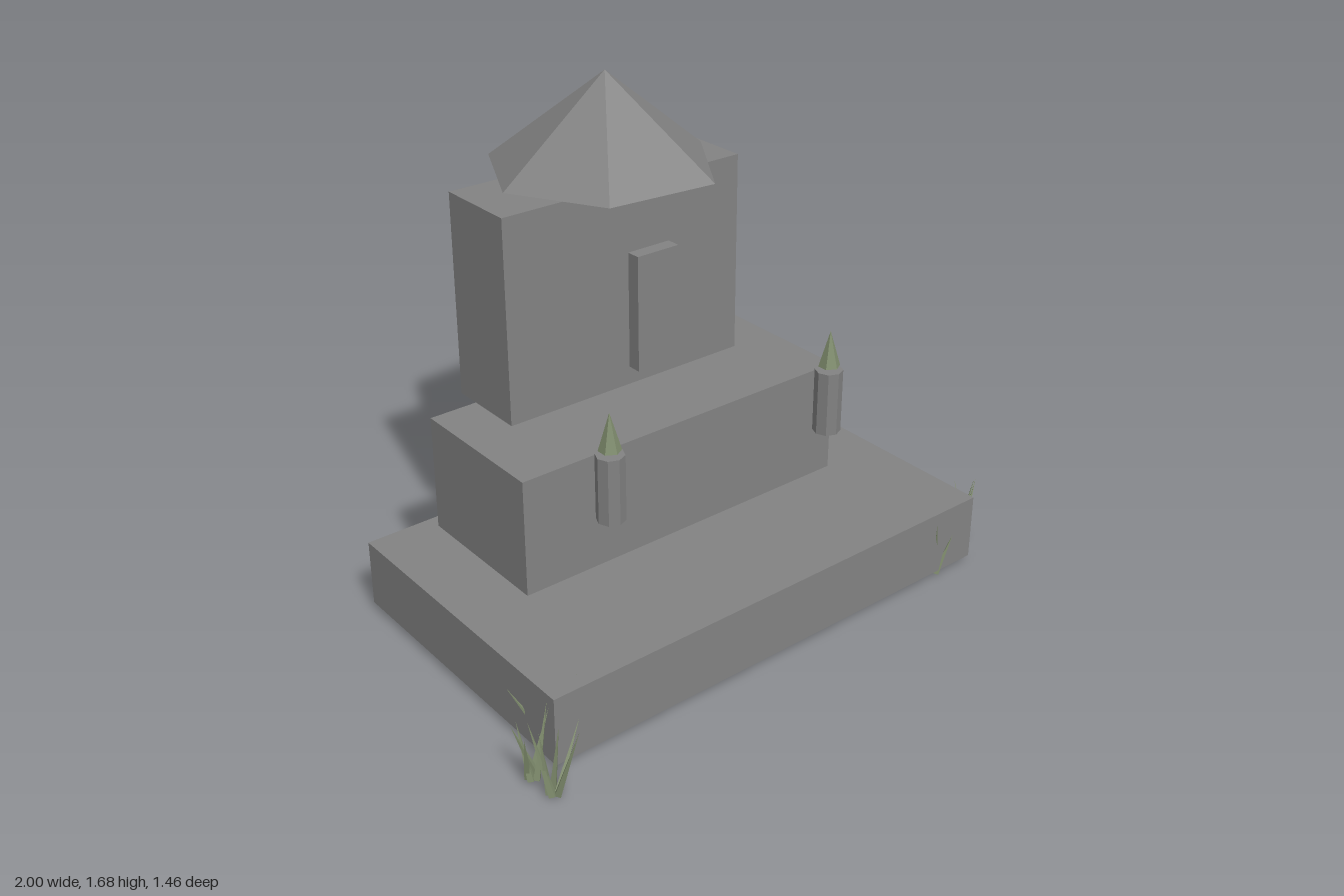
import * as THREE from 'three';

const stone = new THREE.MeshStandardMaterial({ name: 'grey stone', color: 0x828282, flatShading: true });
const green = new THREE.MeshStandardMaterial({ name: 'moss green', color: 0x7f8c6d, flatShading: true });

export function createModel() {
  const model = new THREE.Group();
  model.name = 'shrine';

  const add = (name, geometry, material, x = 0, y = 0, z = 0, parent = model) => {
    const mesh = new THREE.Mesh(geometry, material);
    mesh.name = name;
    mesh.position.set(x, y, z);
    parent.add(mesh);
    return mesh;
  };

  // Box given by its extents on each axis
  const block = (name, [x0, x1], [y0, y1], [z0, z1]) =>
    add(name, new THREE.BoxGeometry(x1 - x0, y1 - y0, z1 - z0), stone,
      (x0 + x1) / 2, (y0 + y1) / 2, (z0 + z1) / 2);

  // Stepped masonry and the door slab in front of the tower
  block('base', [-0.88, 0.85], [0.025, 0.255], [-0.475, 0.56]);
  block('step', [-0.65, 0.615], [0.255, 0.655], [-0.422, 0.095]);
  block('tower', [-0.48, 0.445], [0.655, 1.353], [-0.508, -0.216]);
  block('door', [-0.095, 0.065], [0.787, 1.18], [-0.105, -0.057]);

  // Slightly uneven six-sided roof: apex fanned to the eaves, closed below
  const eaves = [[-0.375, -0.365], [-0.2, -0.055], [0.182, -0.02],
    [0.41, -0.365], [0.195, -0.73], [-0.21, -0.7]];
  const roofPoints = [];
  eaves.forEach(([x, z], i) => {
    const [nx, nz] = eaves[(i + 1) % eaves.length];
    roofPoints.push(0.01, 1.685, -0.352, x, 1.365, z, nx, 1.365, nz);
    roofPoints.push(0.01, 1.365, -0.36, nx, 1.365, nz, x, 1.365, z);
  });
  const roof = new THREE.BufferGeometry();
  roof.setAttribute('position', new THREE.Float32BufferAttribute(roofPoints, 3));
  roof.computeVertexNormals();
  add('roof', roof, stone);

  // Pair of lantern posts with green pointed caps
  for (const x of [-0.459, 0.421]) {
    const post = new THREE.Group();
    post.name = 'lanternPost';
    post.position.set(x, 0, 0.274);
    model.add(post);
    add('postShaft', new THREE.CylinderGeometry(0.046, 0.046, 0.22, 8), stone, 0, 0.653, 0, post);
    add('postCap', new THREE.ConeGeometry(0.036, 0.123, 6), green, 0, 0.838, 0, post);
  }

  // Grass tufts: root (x, z), then the tip of each blade (x, y, z)
  const tufts = [
    [[-0.94, 0.635], [[-0.83, 0.2, 0.61], [-0.91, 0.265, 0.725], [-0.98, 0.24, 0.575],
      [-0.97, 0.22, 0.615], [-0.93, 0.25, 0.655]]],
    [[-0.95, 0.545], [[-1, 0.2, 0.52], [-0.9, 0.26, 0.555], [-0.97, 0.19, 0.5],
      [-0.99, 0.18, 0.57], [-0.885, 0.22, 0.54]]],
    [[0.945, 0.445], [[0.85, 0.2, 0.452], [0.96, 0.2, 0.38], [1, 0.22, 0.44],
      [0.98, 0.23, 0.45], [0.88, 0.19, 0.46]]],
    [[-0.84, 0.455], [[-0.915, 0.2, 0.37], [-0.76, 0.262, 0.505], [-0.82, 0.2, 0.48], [-0.85, 0.2, 0.42]]],
    [[0.7, 0.535], [[0.665, 0.22, 0.57], [0.745, 0.155, 0.572], [0.7, 0.2, 0.49], [0.75, 0.2, 0.51]]],
  ];
  const up = new THREE.Vector3(0, 1, 0);
  for (const [[x, z], tips] of tufts) {
    const tuft = new THREE.Group();
    tuft.name = 'grassTuft';
    model.add(tuft);
    tips.forEach((tip, i) => {
      const angle = (i / tips.length) * Math.PI * 2;
      const root = new THREE.Vector3(x + 0.014 * Math.cos(angle), 0.01, z + 0.014 * Math.sin(angle));
      const lean = new THREE.Vector3(...tip).sub(root);
      const blade = new THREE.ConeGeometry(0.013, lean.length(), 4).translate(0, lean.length() / 2, 0);
      add('grassBlade', blade, green, root.x, root.y, root.z, tuft)
        .quaternion.setFromUnitVectors(up, lean.normalize());
    });
  }

  return model;
}
